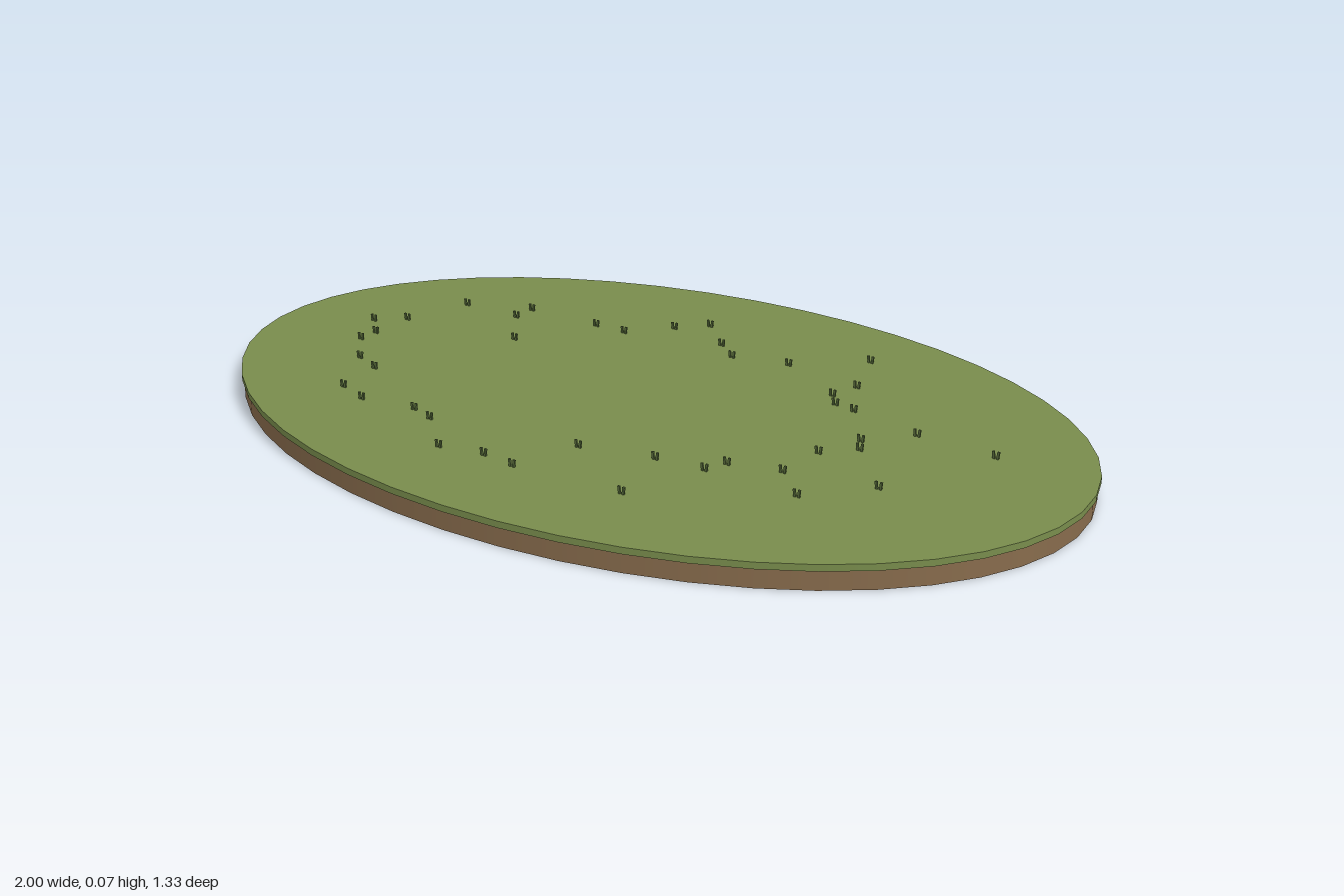
import * as THREE from 'three';

const soil = new THREE.MeshStandardMaterial({ color: 0x876b4c });
soil.name = 'soil brown';
const turf = new THREE.MeshStandardMaterial({ color: 0x788c4c });
turf.name = 'turf green';
const blade = new THREE.MeshStandardMaterial({ color: 0x55693a });
blade.name = 'grass dark green';

const DEPTH = 0.664; // z radius of the oval relative to its x radius
const TOP = 0.054;

// Flat oval slab between two heights
function slab(name, radius, y0, y1, material) {
  const geometry = new THREE.CylinderGeometry(radius, radius, y1 - y0, 48);
  geometry.scale(1, 1, DEPTH);
  const mesh = new THREE.Mesh(geometry, material);
  mesh.position.y = (y0 + y1) / 2;
  mesh.name = name;
  return mesh;
}

// Tuft positions as x, z pairs
const TUFTS = [
  0.30, -0.45, 0.16, -0.33, -0.34, -0.29, -0.26, -0.29, 0.58, -0.14, 0.76, -0.13, -0.73, -0.07,
  -0.79, -0.02, 0.45, 0.17, 0.53, 0.25, 0.05, 0.30, -0.56, 0.33, -0.48, 0.36, 0.00, 0.45,
  -0.12, -0.44, -0.18, -0.38, -0.03, -0.35, 0.03, -0.30, 0.35, -0.30, -0.53, -0.29, -0.53, -0.23,
  -0.68, -0.23, 0.33, -0.23, 0.36, -0.19, 0.41, -0.18, -0.44, -0.11, 0.50, -0.05, 0.52, -0.01,
  -0.73, 0.04, 0.46, 0.05, -0.73, 0.09, 0.64, 0.13, -0.65, 0.18, 0.34, 0.20, -0.58, 0.21,
  0.32, 0.25, 0.21, 0.26, -0.35, 0.34, -0.29, 0.36, -0.08, 0.44, 0.25, 0.43, -0.18, 0.46,
];

export function createModel() {
  const model = new THREE.Group();
  model.name = 'grassyIsland';
  model.add(slab('soilBase', 0.995, 0, 0.041, soil));
  model.add(slab('turfLayer', 1, 0.04, TOP, turf));

  // Small upright grass tufts, each a pair of thin blades
  const bladeGeometry = new THREE.BoxGeometry(0.005, 0.016, 0.004);
  for (let i = 0; i < TUFTS.length; i += 2) {
    const tuft = new THREE.Group();
    tuft.name = 'grassTuft';
    for (const side of [-1, 1]) {
      const mesh = new THREE.Mesh(bladeGeometry, blade);
      mesh.name = 'grassBlade';
      mesh.position.set(side * 0.005, 0.008, 0);
      mesh.rotation.z = -side * 0.12;
      tuft.add(mesh);
    }
    tuft.position.set(TUFTS[i], TOP, TUFTS[i + 1]);
    model.add(tuft);
  }
  return model;
}
